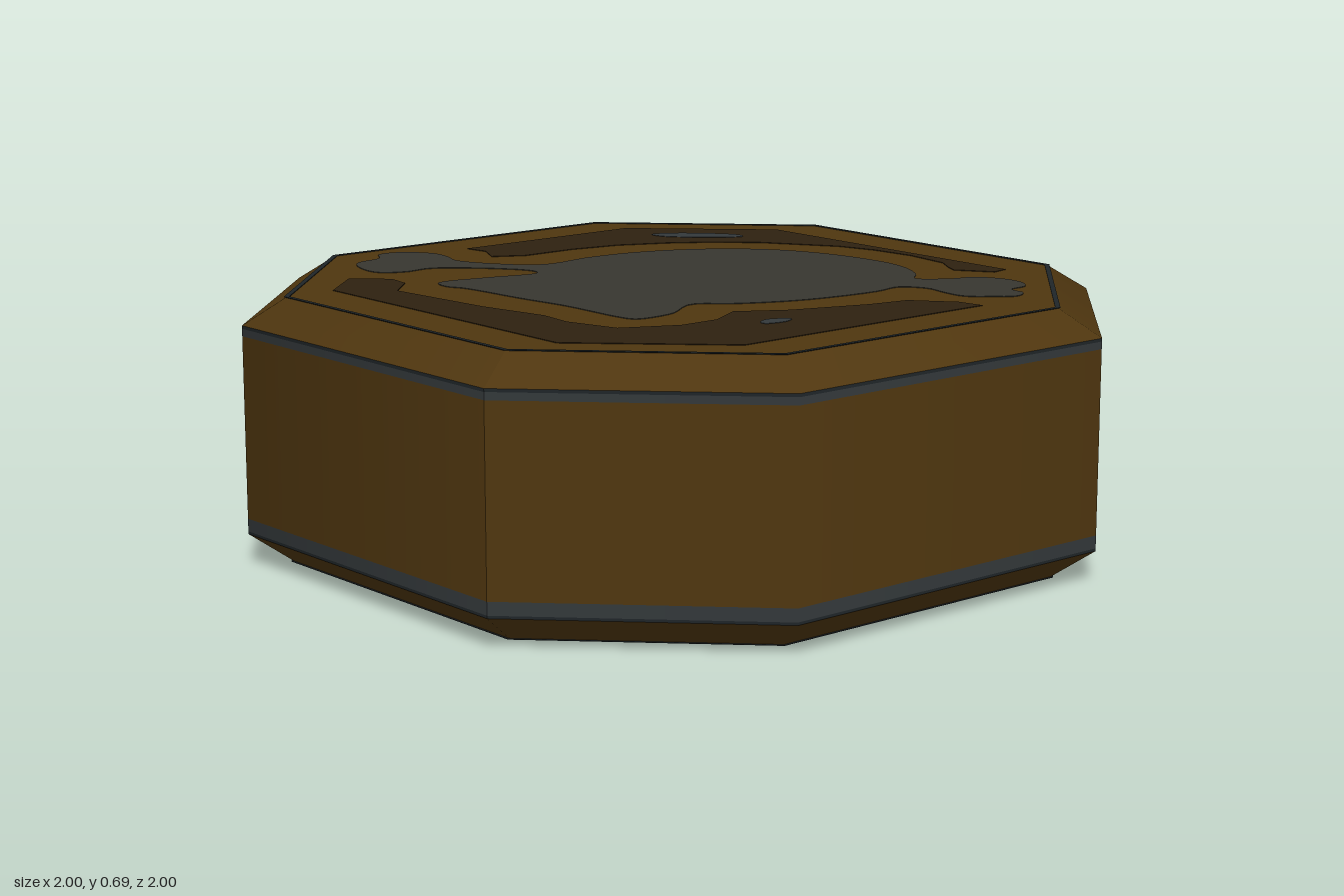
import * as THREE from 'three';

const mat = (name, color) => Object.assign(new THREE.MeshStandardMaterial({ color }), { name });

// Octagon corners (x, z), counter-clockwise seen from below
const OCT = [[.5, 1], [1, .5], [1, -.5], [.5, -1], [-.5, -1], [-1, -.5], [-1, .5], [-.5, 1]];
const TOP = 0.685, SKIN = 0.003;

// Octagonal band between two scaled rings, rounded at every second corner
function band(s0, y0, s1, y1) {
  const pos = [], nor = [], idx = [];
  const tilt = Math.atan2(s0 - s1, y1 - y0);
  for (let p = 0; p < 4; p++) {
    for (let c = 0; c < 3; c++) {
      const [x, z] = OCT[(2 * p + c) % 8];
      const az = Math.PI * (45 + 90 * p + 22.5 * c) / 180;
      for (const [s, y] of [[s0, y0], [s1, y1]]) {
        pos.push(x * s, y, z * s);
        nor.push(Math.sin(az) * Math.cos(tilt), Math.sin(tilt), Math.cos(az) * Math.cos(tilt));
      }
    }
    for (let c = 0; c < 2; c++) {
      const a = p * 6 + c * 2;
      idx.push(a, a + 2, a + 3, a, a + 3, a + 1);
    }
  }
  const g = new THREE.BufferGeometry();
  g.setAttribute('position', new THREE.Float32BufferAttribute(pos, 3));
  g.setAttribute('normal', new THREE.Float32BufferAttribute(nor, 3));
  g.setIndex(idx);
  return g;
}

// Outline in (x, z) to a shape
const outline = (pts) => new THREE.Shape(pts.map(([x, z]) => new THREE.Vector2(x, -z)));
const octagon = (s) => outline(OCT.map(([x, z]) => [x * s, z * s]));

// Closed smooth curve through the points
function smooth(pts, n) {
  const curve = new THREE.CatmullRomCurve3(pts.map(([x, z]) => new THREE.Vector3(x, 0, z)), true);
  return curve.getPoints(n).slice(0, -1).map((v) => [v.x, v.z]);
}

// Flat slab of a shape, standing from y to y + h
function slab(shape, y, h) {
  return new THREE.ExtrudeGeometry(shape, { depth: h, bevelEnabled: false })
    .rotateX(-Math.PI / 2).translate(0, y, 0);
}

const SKULL = [
  [-.37, .49], [-.31, .51], [-.26, .49], [-.05, .47], [.1, .45], [.34, .44], [.355, .42], [.35, .32],
  [.285, .2], [.35, .11], [.42, -.05], [.45, -.27], [.44, -.36], [.5, -.4], [.57, -.39],
  [.64, -.39], [.69, -.44], [.725, -.49], [.70, -.54], [.65, -.55], [.64, -.61], [.6, -.645],
  [.53, -.65], [.46, -.61], [.44, -.55], [.38, -.48], [.33, -.53], [.24, -.58], [.14, -.6],
  [-.05, -.58], [-.21, -.51], [-.34, -.37], [-.41, -.21], [-.43, -.05], [-.42, .12],
  [-.61, .25], [-.69, .23], [-.76, .23], [-.83, .29], [-.835, .35], [-.78, .39],
  [-.76, .47], [-.7, .51], [-.6, .52], [-.56, .46], [-.56, .37], [-.37, .2], [-.32, .21], [-.35, .35],
];

const FIELD_BACK = [
  [-.76, -.45], [-.46, -.76], [.43, -.76], [.44, -.71], [.35, -.65], [.31, -.67], [.25, -.71], [.11, -.73],
  [-.02, -.72], [-.13, -.69], [-.32, -.57], [-.42, -.46], [-.48, -.37], [-.54, -.24], [-.565, -.1],
  [-.565, .06], [-.61, .14], [-.69, .1], [-.76, .11],
];

const FIELD_FRONT = [
  [.76, -.33], [.69, -.32], [.59, -.24], [.57, -.13], [.5, .07], [.425, .19], [.48, .29], [.48, .4],
  [.41, .54], [.27, .58], [.17, .57], [-.02, .61], [-.34, .64], [-.42, .56], [-.49, .55],
  [-.57, .63], [-.45, .76], [.46, .76], [.76, .45],
];

const GLINT_LONG = [[-.62, -.43], [-.60, -.49], [-.46, -.61], [-.425, -.6], [-.44, -.56], [-.57, -.43]];
const GLINT_SMALL = [[.56, .2], [.59, .15], [.61, .18], [.6, .24], [.58, .24]];

// Dark worn area wrapped round one side corner
const STAIN = [[-.8, .7], [-.8 - SKIN, .7 + SKIN], [-1 - SKIN, .5], [-1 - SKIN, .2], [-1, .2], [-1, .5]];

export function createModel() {
  const brown = mat('brown', 0x4f360f);
  const darkBrown = mat('darkBrown', 0x2e2110);
  const grey = mat('grey', 0x373630);
  const steel = mat('steelGrey', 0x33383a);
  const line = mat('darkLine', 0x1f2528);

  const model = new THREE.Group();
  model.name = 'octagonalToken';
  const add = (name, geometry, material, parent = model) => {
    const mesh = new THREE.Mesh(geometry, material);
    mesh.name = name;
    parent.add(mesh);
    return mesh;
  };

  // Stacked rings of the body: name, scale and height below and above, colour
  const rings = [
    ['lowerChamfer', .9, SKIN, 1, .08, brown],
    ['lowerEdgeLine', 1, .08, 1, .087, line],
    ['lowerEdgeBand', 1, .087, 1, .12, steel],
    ['sideWall', 1, .12, 1, .588, brown],
    ['upperEdgeBand', 1, .588, 1, .607, steel],
    ['upperEdgeLine', 1, .607, 1, .615, line],
    ['upperChamfer', 1, .615, .9, TOP - SKIN, brown],
  ];
  for (const [name, s0, y0, s1, y1, m] of rings) add(name, band(s0, y0, s1, y1), m);

  // Flat faces
  add('topFace', new THREE.ShapeGeometry(octagon(.9)).rotateX(-Math.PI / 2).translate(0, TOP - SKIN, 0), brown);
  add('bottomFace', new THREE.ShapeGeometry(octagon(.9)).rotateX(Math.PI / 2).scale(1, 1, -1)
    .translate(0, SKIN, 0), brown).geometry.index.array.reverse();

  // Emblem on both faces: thin plates, the glints stacked over the dark fields
  const rim = octagon(.905);
  rim.holes.push(octagon(.893));
  const plates = [
    ['rimLine', rim, .6, line],
    ['darkFieldBack', outline(FIELD_BACK), .6, darkBrown],
    ['darkFieldFront', outline(FIELD_FRONT), .6, darkBrown],
    ['skullAndBone', outline(smooth(SKULL, 200)), .6, grey],
    ['longGlint', outline(smooth(GLINT_LONG, 30)), 1, steel],
    ['smallGlint', outline(smooth(GLINT_SMALL, 24)), 1, steel],
  ];
  for (const side of ['top', 'bottom']) {
    const emblem = new THREE.Group();
    emblem.name = side + 'Emblem';
    model.add(emblem);
    for (const [name, shape, k, m] of plates) {
      const h = SKIN * k;
      add(name, slab(shape, side === 'top' ? TOP - SKIN : SKIN - h, h), m, emblem);
    }
  }

  // Side stain
  add('sideStain', slab(outline(STAIN), .15, .437), darkBrown);
  return model;
}
